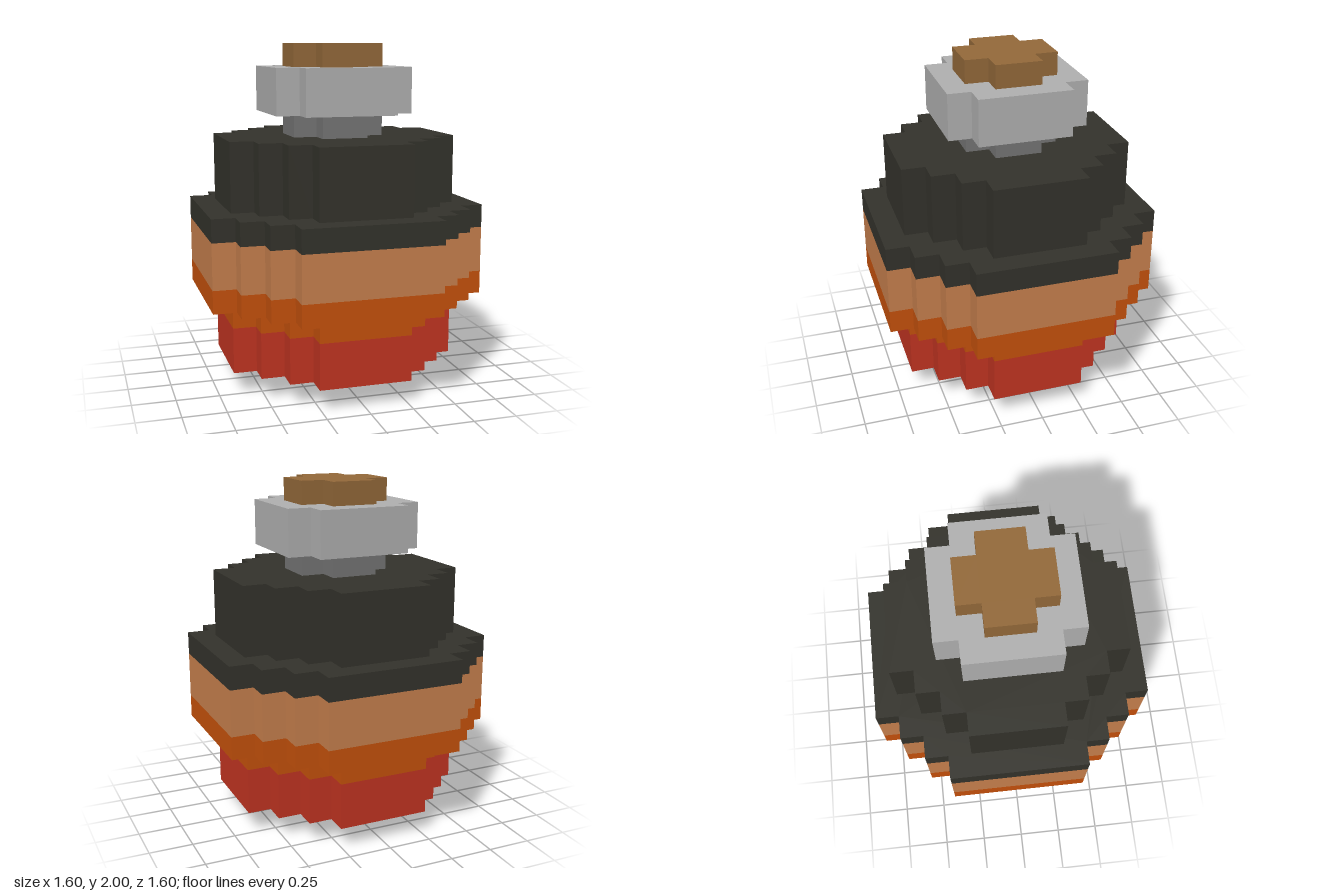
import * as THREE from 'three';

const U = 2 / 15; // one voxel

const colour = (name, hex) => {
  const m = new THREE.MeshStandardMaterial({ color: hex });
  m.name = name;
  return m;
};

// Stepped discs: corners of one quadrant, in voxels, from +x round to +y
const QUADRANTS = {
  2: [[2, 1], [1, 1], [1, 2]],
  3: [[3, 2], [2, 2], [2, 3]],
  5: [[5, 2], [4, 2], [4, 3], [3, 3], [3, 4], [2, 4], [2, 5]],
  6: [[6, 3], [5, 3], [5, 4], [4, 4], [4, 5], [3, 5], [3, 6]],
};

// Repeat the quadrant by quarter turns to close the outline
function steppedDisc(radius) {
  const points = [];
  for (let turn = 0; turn < 4; turn++) {
    for (const [x, y] of QUADRANTS[radius]) {
      points.push(new THREE.Vector2(x * U, y * U).rotateAround(new THREE.Vector2(), turn * Math.PI / 2));
    }
  }
  return new THREE.Shape(points);
}

export function createModel() {
  const red = colour('red', 0xc43522);
  const orange = colour('orange', 0xc8520c);
  const tan = colour('tan', 0xc9814e);
  const dark = colour('charcoal', 0x34332c);
  const grey = colour('mid grey', 0x767676);
  const silver = colour('light grey', 0xb2b2b2);
  const brown = colour('cork brown', 0x956a3a);

  // name, radius, bottom, top (in voxels), material
  const layers = [
    ['base', 2, 0, 1, grey],
    ['lowerBody', 5, 1, 3, red],
    ['lowerBodyBand', 5, 3, 4, orange],
    ['bellyLowerBand', 6, 4, 5, orange],
    ['bellyUpperBand', 6, 5, 7, tan],
    ['bellyRim', 6, 7, 8, dark],
    ['shoulder', 5, 8, 11, dark],
    ['neck', 2, 11, 12, grey],
    ['lip', 3, 12, 14, silver],
    ['stopper', 2, 14, 15, brown],
  ];

  const model = new THREE.Group();
  model.name = 'flask';
  for (const [name, radius, bottom, top, material] of layers) {
    const geometry = new THREE.ExtrudeGeometry(steppedDisc(radius), {
      depth: (top - bottom) * U,
      bevelEnabled: false,
    });
    geometry.rotateX(-Math.PI / 2);
    const mesh = new THREE.Mesh(geometry, material);
    mesh.name = name;
    mesh.position.y = bottom * U;
    model.add(mesh);
  }
  return model;
}
